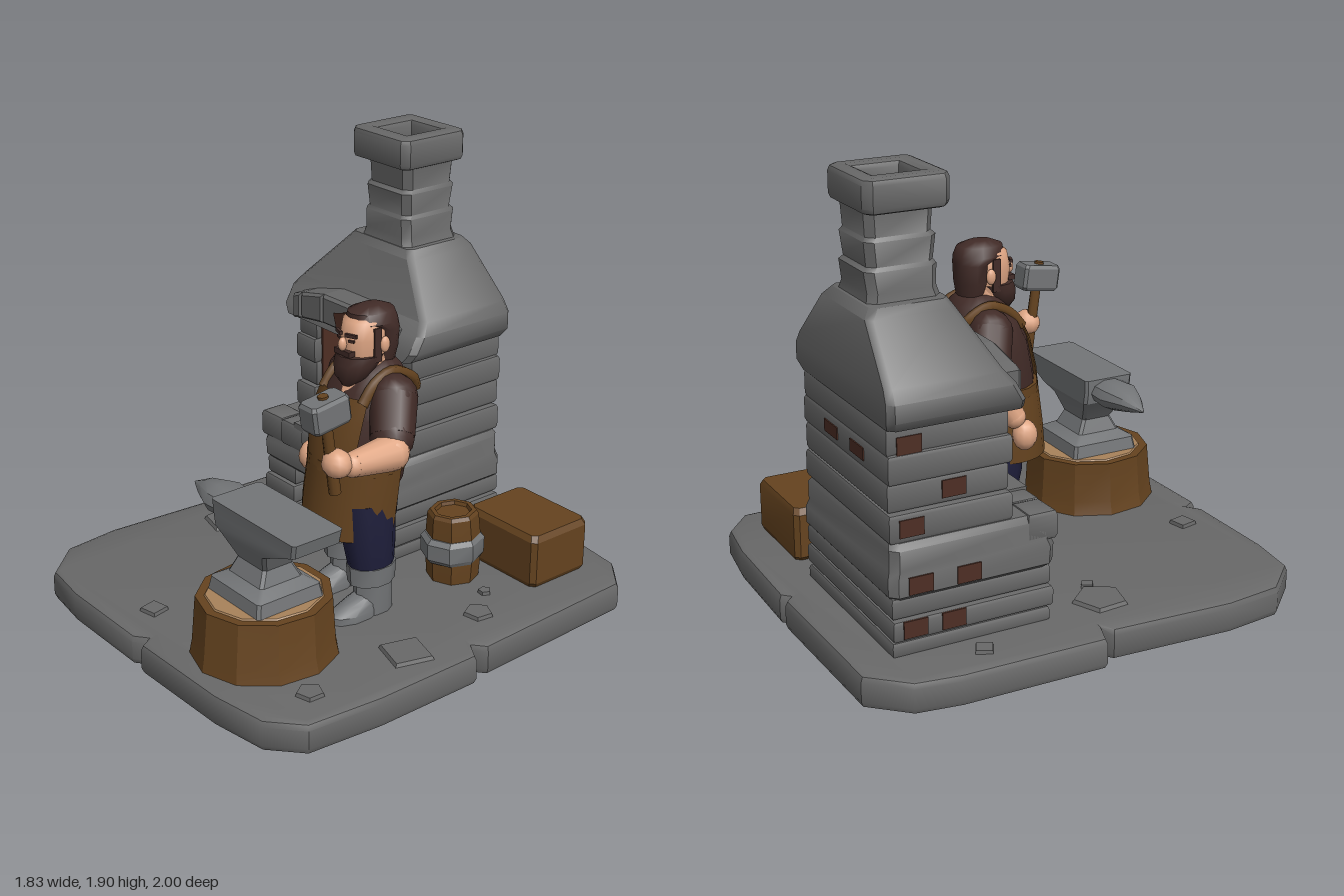
import * as THREE from 'three';
import { toCreasedNormals } from 'three/addons/utils/BufferGeometryUtils.js';

const paint = (name, hex, side = THREE.FrontSide) => {
  const m = new THREE.MeshStandardMaterial({ color: hex, side });
  m.name = name;
  return m;
};

export function createModel() {
  const root = new THREE.Group();
  root.name = 'forgeScene';
  const stone = paint('stone', 0x686868), steel = paint('steel', 0x737577);
  const brick = paint('brick', 0x4e2e24), wood = paint('wood and leather', 0x65431f, THREE.DoubleSide);
  const cutWood = paint('cut wood', 0xa8825a), skin = paint('skin', 0xdfa684);
  const dark = paint('hair and shirt', 0x412b27), navy = paint('trousers', 0x1e1e3a);
  const orange = paint('flame orange', 0xe8801c), yellow = paint('flame yellow', 0xdcaa48);

  const group = (name, parent = root) => {
    const g = new THREE.Group();
    g.name = name;
    parent.add(g);
    return g;
  };
  const add = (parent, name, geo, mat, x = 0, y = 0, z = 0) => {
    const m = new THREE.Mesh(geo, mat);
    m.name = name;
    m.position.set(x, y, z);
    parent.add(m);
    return m;
  };
  const block = (p, name, mat, w, h, d, x, y, z) => add(p, name, new THREE.BoxGeometry(w, h, d), mat, x, y, z);
  const ball = (p, name, mat, r, x, y, z, sx = 1, sy = 1, sz = 1) => {
    const m = add(p, name, new THREE.SphereGeometry(r, 12, 8), mat, x, y, z);
    m.scale.set(sx, sy, sz);
    return m;
  };

  // Horizontal cross-sections: an oval (or an arc of one), and a rectangle with cut corners
  const oval = (n, a0 = 0, a1 = Math.PI * 2) => ([y, cx, cz, rx, rz]) =>
    Array.from({ length: a1 - a0 > 6.28 ? n : n + 1 }, (_, i) => {
      const a = a0 + (a1 - a0) * i / n;
      return [cx + rx * Math.sin(a), y, cz + rz * Math.cos(a)];
    });
  const rect = c => ([y, x0, x1, z0, z1]) => [[x1 - c, z1], [x1, z1 - c], [x1, z0 + c], [x1 - c, z0],
    [x0 + c, z0], [x0, z0 + c], [x0, z1 - c], [x0 + c, z1]].map(([x, z]) => [x, y, z]);
  // Skin through sections from bottom to top, capped when closed
  const loft = (sections, ring, crease = 0.7, closed = true) => {
    const rings = sections.map(ring), n = rings[0].length, pos = rings.flat(2), idx = [];
    for (let i = 0; i < rings.length - 1; i++)
      for (let j = 0; j < (closed ? n : n - 1); j++) {
        const k = (j + 1) % n, a = i * n + j, b = i * n + k;
        idx.push(a, b, b + n, a, b + n, a + n);
      }
    if (closed) [rings[0], rings.at(-1)].forEach((r, top) => {
      const c = pos.length / 3, base = top ? (rings.length - 1) * n : 0;
      for (let q = 0; q < 3; q++) pos.push(r.reduce((s, p) => s + p[q], 0) / n);
      for (let j = 0; j < n; j++) {
        const k = (j + 1) % n;
        idx.push(c, base + (top ? j : k), base + (top ? k : j));
      }
    });
    const g = new THREE.BufferGeometry();
    g.setAttribute('position', new THREE.Float32BufferAttribute(pos, 3));
    g.setIndex(idx);
    return toCreasedNormals(g, crease);
  };
  // Plan outline [x, z] raised from y0 to y1 with softened edges
  const outline = pts => new THREE.Shape(pts.map(([x, z]) => new THREE.Vector2(x, -z)));
  const raise = (shape, y0, y1, b) => toCreasedNormals(new THREE.ExtrudeGeometry(shape, {
    depth: y1 - y0 - 2 * b, bevelThickness: b, bevelSize: b, bevelOffset: -b, bevelSegments: 2,
  }).rotateX(-Math.PI / 2).translate(0, y0 + b, 0), 0.7);
  // Tapered limb between two points, rounded at both ends
  const limb = (p, name, mat, a, b, ra, rb) => {
    const A = new THREE.Vector3(...a), B = new THREE.Vector3(...b), d = B.clone().sub(A);
    const m = add(p, name, new THREE.CylinderGeometry(rb, ra, d.length(), 12), mat, ...A.clone().add(B).multiplyScalar(0.5));
    m.quaternion.setFromUnitVectors(new THREE.Vector3(0, 1, 0), d.normalize());
    ball(p, name + 'Start', mat, ra, ...a);
    ball(p, name + 'End', mat, rb, ...b);
  };

  // Ground slab with worn notches
  add(root, 'groundSlab', raise(outline([[-0.74, -0.99], [-0.03, -1], [0, -0.97], [0.03, -1], [0.5, -0.99], [0.72, -0.96],
    [0.86, -0.84], [0.89, -0.06], [0.84, -0.02], [0.91, 0.02], [0.91, 0.5], [0.88, 0.83], [0.75, 0.95], [0.5, 0.99],
    [0.02, 1], [-0.01, 0.95], [-0.06, 0.99], [-0.5, 0.99], [-0.72, 0.96], [-0.87, 0.8], [-0.9, 0.55], [-0.87, 0.02],
    [-0.83, -0.01], [-0.92, -0.04], [-0.91, -0.65], [-0.88, -0.84]]), 0, 0.14, 0.03), stone);
  // Loose paving stones
  [[-0.78, -0.5, 0.05, 0.3], [0.68, -0.2, 0.065, 0.8], [0.73, 0.23, 0.12, 0.5], [0.72, 0.7, 0.06, 0.9], [-0.17, 0.81, 0.06, 1],
    [-0.63, 0.1, 0.12, 0.4], [-0.5, 0.12, 0.035, 0.2], [0.57, -0.34, 0.03, 0.5]].forEach(([x, z, r, turn], i) => {
    const m = add(root, 'pavingStone', new THREE.CylinderGeometry(r * 0.9, r, 0.02, 4 + i % 2).toNonIndexed(), stone, x, 0.145, z);
    m.geometry.computeVertexNormals();
    m.rotation.y = turn;
  });

  // Furnace: U-shaped stone courses around both openings
  const furnace = group('furnace');
  const course = (x0, x1, z1, in0, in1, inZ, y0, y1) => add(furnace, 'stoneCourse', raise(outline(
    [[x0, -0.83], [x1, -0.83], [x1, z1], [in1, z1], [in1, inZ], [in0, inZ], [in0, z1], [x0, z1]]), y0, y1, 0.018), stone);
  [[0.13, 0.2], [0.2, 0.29], [0.29, 0.38]].forEach(([a, b], i) =>
    course(-0.68 - 0.01 * (i % 2), 0.12 + 0.01 * (i % 2), -0.16 + 0.01 * (i % 2), -0.48, -0.09, -0.55, a, b));
  [0.59, 0.71, 0.82, 0.93].forEach((y, i) =>
    course(-0.67 + 0.012 * (i % 2), 0.11 - 0.012 * (i % 2), -0.32 - 0.012 * (i % 2), -0.54, -0.02, -0.68, y, y + 0.12));
  add(furnace, 'hearthSlab', loft([[0.365, -0.67, 0.11, -0.82, -0.17], [0.39, -0.7, 0.14, -0.84, -0.145], [0.46, -0.7, 0.14, -0.84, -0.14],
    [0.49, -0.69, 0.13, -0.83, -0.15], [0.57, -0.69, 0.13, -0.83, -0.16], [0.595, -0.67, 0.11, -0.82, -0.18]], rect(0.03)), stone);
  [-0.69, -0.55, -0.4, -0.23, -0.03, 0.13].forEach((x, i, e) => {
    if (i) add(furnace, 'hearthEdgeStone', raise(outline([[e[i - 1], -0.26], [x, -0.26], [x, -0.14], [e[i - 1], -0.135]]), 0.48, 0.605, 0.02), stone);
  });
  block(furnace, 'hearthPlate', stone, 0.4, 0.03, 0.12, -0.26, 0.6, -0.2);
  // Sooty lining of the fire chamber
  block(furnace, 'liningBack', brick, 0.52, 0.46, 0.009, -0.28, 0.82, -0.676);
  for (const s of [-1, 1]) block(furnace, 'liningSide', brick, 0.009, 0.44, 0.32, -0.28 + s * 0.257, 0.82, -0.52);
  block(furnace, 'liningTop', brick, 0.52, 0.009, 0.34, -0.28, 1.036, -0.51);
  // Hood, flue and hollow cap
  add(furnace, 'hood', loft([[1.04, -0.69, 0.13, -0.83, -0.27], [1.08, -0.72, 0.16, -0.845, -0.28], [1.15, -0.72, 0.16, -0.845, -0.32],
    [1.2, -0.69, 0.13, -0.84, -0.36], [1.4, -0.5, -0.06, -0.82, -0.455], [1.435, -0.47, -0.09, -0.79, -0.475]], rect(0.025)), stone);
  add(furnace, 'flue', loft([[1.42, -0.43, -0.11, -0.78, -0.475], [1.47, -0.42, -0.13, -0.77, -0.49], [1.55, -0.415, -0.13, -0.78, -0.485],
    [1.565, -0.405, -0.14, -0.765, -0.495], [1.66, -0.41, -0.13, -0.775, -0.485], [1.675, -0.4, -0.14, -0.765, -0.5],
    [1.79, -0.4, -0.13, -0.77, -0.49]], rect(0.03)), stone);
  const capShape = outline([[-0.43, -0.8], [-0.13, -0.8], [-0.1, -0.77], [-0.1, -0.48], [-0.13, -0.45], [-0.43, -0.45], [-0.465, -0.48], [-0.465, -0.77]]);
  capShape.holes.push(outline([[-0.37, -0.72], [-0.37, -0.54], [-0.19, -0.54], [-0.19, -0.72]]));
  add(furnace, 'flueCap', raise(capShape, 1.77, 1.905, 0.025), stone);
  // Arched lintel
  const arch = x => 1 - ((x + 0.28) / 0.36) ** 2;
  [-0.6, -0.54, -0.39, -0.18, -0.03, 0.04].forEach((x, i, e) => {
    if (!i) return;
    const w = e[i - 1], lo = v => 1.035 + 0.045 * arch(v), hi = v => 1.14 + 0.075 * arch(v);
    const s = new THREE.Shape([[w, lo(w)], [x, lo(x)], [x, hi(x)], [w, hi(w)]].map(p => new THREE.Vector2(...p)));
    add(furnace, 'lintelStone', new THREE.ExtrudeGeometry(s, { depth: 0.13, bevelThickness: 0.015, bevelSize: 0.012, bevelOffset: -0.012, bevelSegments: 1 }), stone, 0, 0, -0.385);
  });
  const chip = block(furnace, 'exposedBrick', brick, 0.09, 0.07, 0.008, -0.25, 1.13, -0.239);
  chip.rotation.z = 0.3;
  // Exposed bricks on the right side and back
  [[0.97, -0.74, -0.659], [0.65, -0.74, -0.671], [0.77, -0.56, -0.659], [0.43, -0.72, -0.701], [0.43, -0.52, -0.701], [0.25, -0.74, -0.691], [0.25, -0.58, -0.691]]
    .forEach(([y, z, x]) => block(furnace, 'exposedBrick', brick, 0.008, 0.07, 0.1, x, y, z));
  for (const x of [-0.4, -0.16]) block(furnace, 'exposedBrick', brick, 0.12, 0.05, 0.008, x, 0.88, -0.831);

  // Fire
  const fire = group('fire');
  add(fire, 'embers', new THREE.CylinderGeometry(0.13, 0.16, 0.03, 8), yellow, -0.26, 0.61, -0.42);
  add(fire, 'outerFlame', loft([[0.6, -0.25, -0.44, 0.13, 0.1], [0.7, -0.25, -0.44, 0.125, 0.1], [0.78, -0.23, -0.44, 0.075, 0.06],
    [0.88, -0.2, -0.44, 0.004, 0.004]], oval(6), 0.3), orange);
  add(fire, 'innerFlame', loft([[0.61, -0.26, -0.36, 0.1, 0.07], [0.69, -0.26, -0.37, 0.095, 0.06], [0.76, -0.23, -0.38, 0.05, 0.035],
    [0.81, -0.24, -0.39, 0.004, 0.004]], oval(6), 0.3), yellow);

  // Stump and anvil
  const anvil = group('anvilAndStump');
  add(anvil, 'stump', loft([[0.14, 0.345, 0.63, 0.29, 0.3], [0.2, 0.345, 0.63, 0.275, 0.29], [0.38, 0.335, 0.62, 0.265, 0.275]], oval(11), 0.5), wood);
  add(anvil, 'stumpTop', loft([[0.379, 0.335, 0.62, 0.23, 0.24], [0.386, 0.335, 0.62, 0.225, 0.235]], oval(11)), cutWood);
  add(anvil, 'anvilBody', loft([[0.385, 0.17, 0.51, 0.46, 0.78], [0.44, 0.18, 0.5, 0.47, 0.77], [0.47, 0.23, 0.45, 0.52, 0.72],
    [0.53, 0.25, 0.43, 0.55, 0.69], [0.61, 0.19, 0.47, 0.52, 0.72], [0.64, 0.16, 0.53, 0.5, 0.73], [0.69, 0.15, 0.66, 0.5, 0.73],
    [0.75, 0.15, 0.675, 0.5, 0.735]], rect(0.012), 0.4), steel);
  const horn = add(anvil, 'anvilHorn', loft([[0, 0, 0, 0.055, 0.09], [0.09, 0, 0, 0.062, 0.095], [0.19, 0, 0, 0.04, 0.055],
    [0.285, -0.01, 0, 0.004, 0.004]], oval(10), 0.6), steel, 0.16, 0.69, 0.617);
  horn.rotation.z = Math.PI / 2;

  // Crate and banded bucket
  add(root, 'crate', loft([[0.14, 0.28, 0.67, -0.82, -0.52], [0.16, 0.26, 0.68, -0.83, -0.51], [0.35, 0.26, 0.68, -0.83, -0.51],
    [0.375, 0.28, 0.665, -0.82, -0.525]], rect(0.02), 0.4), wood);
  const bucket = group('bucket');
  add(bucket, 'bucketBody', loft([[0.14, 0.36, -0.35, 0.11, 0.11], [0.28, 0.36, -0.35, 0.12, 0.12], [0.43, 0.36, -0.345, 0.105, 0.11],
    [0.445, 0.36, -0.345, 0.095, 0.1], [0.445, 0.36, -0.345, 0.075, 0.08], [0.43, 0.36, -0.345, 0.07, 0.075]], oval(8), 0.4), wood);
  add(bucket, 'bucketBand', loft([[0.23, 0.36, -0.345, 0.117, 0.12], [0.25, 0.36, -0.345, 0.128, 0.138], [0.32, 0.36, -0.345, 0.128, 0.14],
    [0.34, 0.36, -0.345, 0.115, 0.12]], oval(8), 0.5), steel);

  // Blacksmith: legs and boots
  const smith = group('blacksmith');
  [[0.37, 0.11], [0.12, 0.03]].forEach(([x, z]) => {
    add(smith, 'trouserLeg', loft([[0.34, x, z, 0.08, 0.1], [0.45, x, z + 0.01, 0.09, 0.115], [0.64, x * 0.8 + 0.05, z + 0.01, 0.1, 0.13]], oval(12)), navy);
    add(smith, 'boot', loft([[0.14, x, z - 0.01, 0.065, 0.09], [0.27, x, z - 0.01, 0.07, 0.085], [0.28, x, z, 0.085, 0.105], [0.36, x, z, 0.088, 0.11]], oval(10)), steel);
    add(smith, 'bootToe', loft([[0.14, x, z + 0.09, 0.068, 0.125], [0.17, x, z + 0.09, 0.068, 0.125], [0.2, x, z + 0.06, 0.055, 0.09], [0.23, x, z + 0.02, 0.04, 0.06]], oval(10)), steel);
  });
  add(smith, 'hips', loft([[0.54, 0.25, 0.09, 0.18, 0.15], [0.75, 0.25, 0.09, 0.19, 0.17]], oval(16)), navy);
  // Shirt and leather apron
  add(smith, 'shirt', loft([[0.7, 0.25, 0.09, 0.195, 0.18], [0.85, 0.25, 0.07, 0.205, 0.19], [1, 0.25, 0.045, 0.215, 0.18],
    [1.09, 0.255, 0.03, 0.2, 0.15], [1.16, 0.265, 0.02, 0.13, 0.11], [1.2, 0.27, 0.02, 0.075, 0.075]], oval(16), 1.2), dark);
  add(smith, 'apronSkirt', loft([[0.49, 0.235, 0.11, 0.205, 0.2], [0.62, 0.24, 0.1, 0.21, 0.2], [0.78, 0.25, 0.085, 0.208, 0.198]], oval(14, -1.9, 1.9), 1.2, false), wood);
  add(smith, 'apronBib', loft([[0.76, 0.25, 0.085, 0.208, 0.198], [0.86, 0.25, 0.07, 0.217, 0.203], [1, 0.25, 0.045, 0.225, 0.192],
    [1.08, 0.255, 0.035, 0.21, 0.165]], oval(10, -0.75, 0.75), 1.2, false), wood);
  add(smith, 'apronBack', loft([[0.84, 0.25, 0.07, 0.213, 0.199], [1, 0.25, 0.045, 0.225, 0.19], [1.08, 0.255, 0.035, 0.21, 0.164]],
    oval(8, Math.PI - 0.6, Math.PI + 0.6), 1.2, false), wood);
  add(smith, 'belt', loft([[0.77, 0.25, 0.085, 0.212, 0.2], [0.81, 0.25, 0.08, 0.214, 0.2]], oval(16)), wood);
  for (const s of [-1, 1]) {
    const path = new THREE.CatmullRomCurve3([[0.12, 1.06, 0.17], [0.12, 1.13, 0.11], [0.12, 1.165, 0.02], [0.12, 1.12, -0.08], [0.1, 1.06, -0.12]]
      .map(([x, y, z]) => new THREE.Vector3(0.26 + s * x, y, z)));
    add(smith, 'apronStrap', new THREE.TubeGeometry(path, 12, 0.024, 6), wood);
  }
  // Neck, head, hair and beard
  add(smith, 'neck', loft([[1.06, 0.265, 0.13, 0.03, 0.065], [1.12, 0.265, 0.08, 0.085, 0.085], [1.22, 0.27, 0.04, 0.075, 0.08]], oval(12)), skin);
  add(smith, 'head', loft([[1.14, 0.27, 0.08, 0.05, 0.07], [1.2, 0.27, 0.07, 0.08, 0.095], [1.3, 0.27, 0.07, 0.088, 0.105],
    [1.37, 0.27, 0.06, 0.085, 0.1], [1.4, 0.27, 0.05, 0.06, 0.07]], oval(14), 1.2), skin);
  add(smith, 'hair', loft([[1.18, 0.27, 0, 0.07, 0.06], [1.25, 0.27, 0, 0.09, 0.07], [1.33, 0.27, 0, 0.097, 0.073], [1.36, 0.27, 0.035, 0.097, 0.11],
    [1.4, 0.27, 0.04, 0.078, 0.1], [1.42, 0.27, 0.04, 0.035, 0.05]], oval(14), 0.9), dark);
  add(smith, 'beard', loft([[1.11, 0.27, 0.14, 0.03, 0.035], [1.15, 0.27, 0.13, 0.072, 0.07], [1.2, 0.27, 0.11, 0.093, 0.09],
    [1.235, 0.27, 0.09, 0.094, 0.1]], oval(12), 0.9), dark);
  block(smith, 'moustache', dark, 0.09, 0.022, 0.03, 0.27, 1.25, 0.17);
  ball(smith, 'nose', skin, 0.02, 0.27, 1.285, 0.18, 0.8, 1.4, 1);
  for (const s of [-1, 1]) {
    block(smith, 'sideburn', dark, 0.012, 0.14, 0.035, 0.27 + s * 0.085, 1.28, 0.075);
    block(smith, 'eyebrow', dark, 0.05, 0.014, 0.012, 0.27 + s * 0.037, 1.325, 0.168).rotation.y = s * 0.35;
    block(smith, 'eye', dark, 0.025, 0.01, 0.009, 0.27 + s * 0.037, 1.302, 0.166).rotation.y = s * 0.35;
    ball(smith, 'ear', skin, 0.028, 0.27 + s * 0.095, 1.28, 0.045, 0.5, 1.2, 0.8);
  }
  // Resting right arm
  limb(smith, 'rightSleeve', dark, [0.1, 1.07, 0], [0.02, 0.95, -0.05], 0.095, 0.09);
  limb(smith, 'rightForearm', skin, [0, 0.9, -0.07], [-0.05, 0.74, 0.03], 0.078, 0.05);
  ball(smith, 'rightHand', skin, 0.055, -0.07, 0.66, 0.07, 0.9, 1.2, 1);
  // Raised left arm with hammer
  limb(smith, 'leftSleeve', dark, [0.41, 1.07, 0.04], [0.49, 0.95, 0.11], 0.1, 0.09);
  limb(smith, 'leftForearm', skin, [0.53, 0.91, 0.15], [0.54, 0.92, 0.35], 0.075, 0.05);
  ball(smith, 'leftHand', skin, 0.058, 0.52, 0.935, 0.41, 1.1, 1, 1);
  const hammer = group('hammer', smith);
  hammer.position.set(0.495, 0.81, 0.4);
  hammer.rotation.x = 0.14;
  add(hammer, 'hammerHandle', new THREE.CylinderGeometry(0.021, 0.025, 0.42, 8), wood, 0, 0.2, 0);
  add(hammer, 'hammerHead', loft([[0.285, -0.042, 0.048, -0.08, 0.08], [0.3, -0.05, 0.056, -0.088, 0.088], [0.385, -0.05, 0.056, -0.088, 0.088],
    [0.4, -0.042, 0.048, -0.08, 0.08]], rect(0.012), 0.4), steel);
  return root;
}
